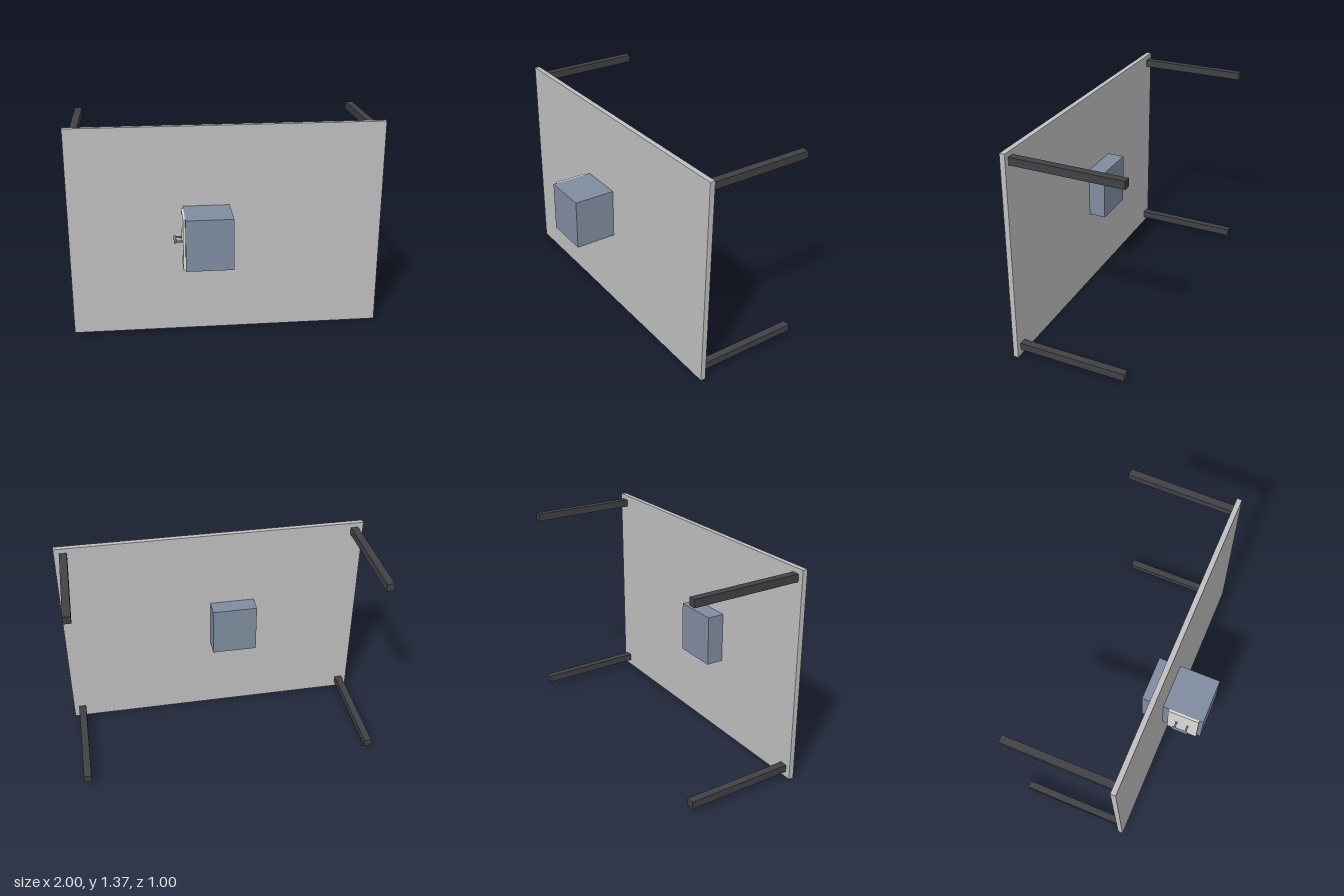
import * as THREE from 'three';

const mat = (name, color) => {
  const m = new THREE.MeshStandardMaterial({ color });
  m.name = name;
  return m;
};

export function createModel() {
  const group = new THREE.Group();
  const grey = mat('panelGrey', 0xc0c0c0);
  const dark = mat('legCharcoal', 0x414146);
  const blue = mat('boxBlueGrey', 0x808da0);
  const pale = mat('doorPale', 0xdcdcd8);

  // Box given by its minimum and maximum corners
  const box = (name, m, x0, x1, y0, y1, z0, z1) => {
    const mesh = new THREE.Mesh(new THREE.BoxGeometry(x1 - x0, y1 - y0, z1 - z0), m);
    mesh.position.set((x0 + x1) / 2, (y0 + y1) / 2, (z0 + z1) / 2);
    mesh.name = name;
    group.add(mesh);
  };

  // Upright panel with four square legs reaching back
  box('panel', grey, -1, 1, 0, 1.367, 0.198, 0.231);
  for (const side of [-1, 1]) {
    for (const y of [0.061, 1.312]) {
      const x = side * 0.942;
      box('leg', dark, x - 0.024, x + 0.024, y - 0.024, y + 0.024, -0.502, 0.198);
    }
  }

  // Box passing through the panel, with a thin door on its side
  box('cabinet', blue, -0.28, 0.016, 0.521, 0.852, 0.085, 0.502);
  box('door', pale, -0.294, -0.28, 0.521, 0.852, 0.27, 0.476);

  // Door handle: a round bar on two posts
  const handle = new THREE.Group();
  handle.name = 'handle';
  handle.position.set(-0.339, 0.685, 0.371);
  const bar = new THREE.Mesh(new THREE.CylinderGeometry(0.008, 0.008, 0.108, 16), blue);
  bar.name = 'handleBar';
  bar.rotation.x = Math.PI / 2;
  handle.add(bar);
  for (const side of [-1, 1]) {
    const post = new THREE.Mesh(new THREE.CylinderGeometry(0.006, 0.006, 0.046, 12), blue);
    post.name = 'handlePost';
    post.rotation.z = Math.PI / 2;
    post.position.set(0.023, 0, side * 0.038);
    handle.add(post);
  }
  group.add(handle);
  return group;
}
